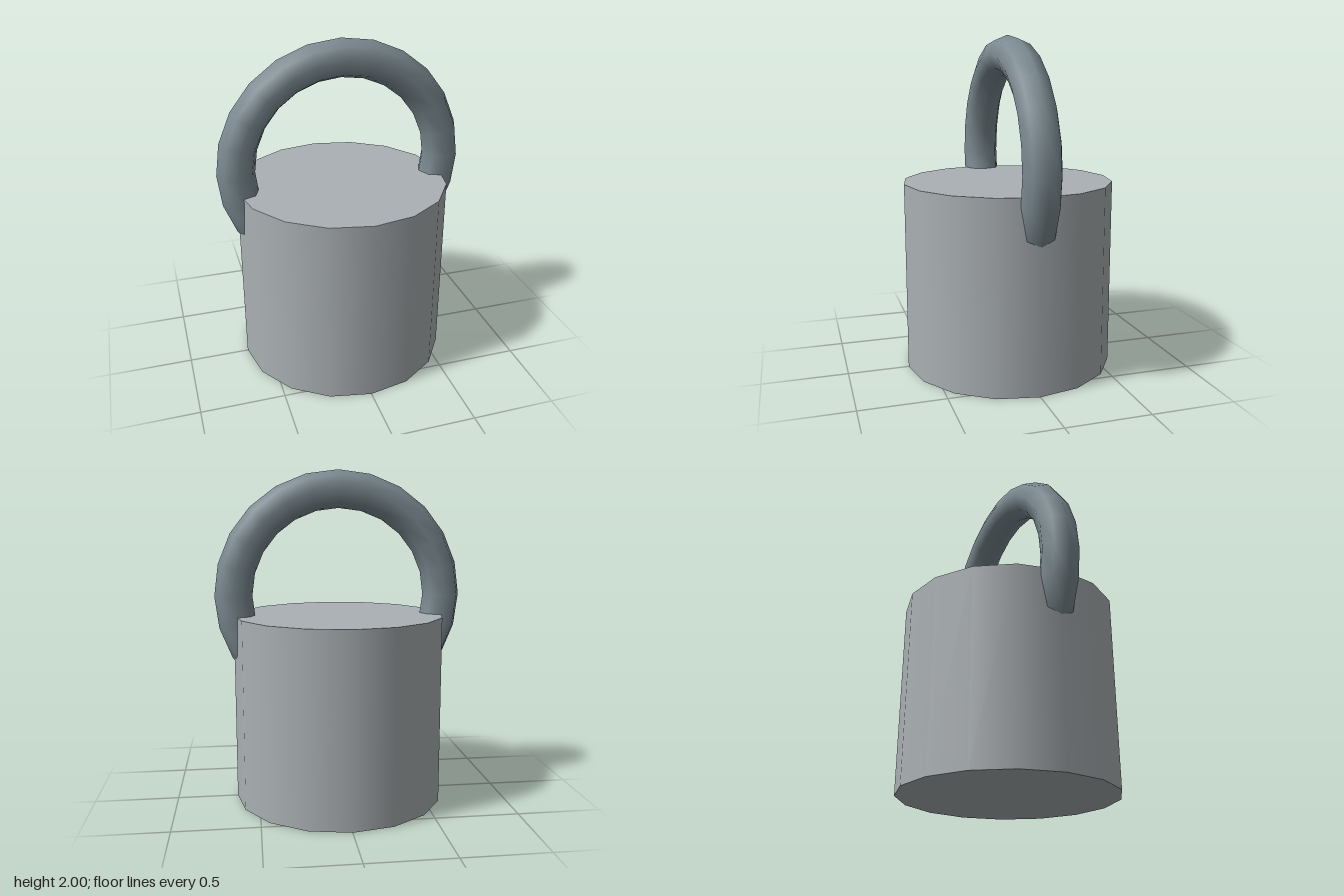
import * as THREE from 'three';

const RADIUS = 0.635;
const BODY_HEIGHT = 1.135;
const TUBE = 0.113;

function addPart(group, name, geometry, color, y) {
  const mesh = new THREE.Mesh(geometry, new THREE.MeshStandardMaterial({ color }));
  mesh.name = name;
  mesh.position.y = y;
  group.add(mesh);
}

export function createModel() {
  const group = new THREE.Group();
  group.name = 'padlock';

  // Solid round body standing on the ground
  addPart(group, 'body',
    new THREE.CylinderGeometry(RADIUS, RADIUS, BODY_HEIGHT, 16), 0xaab0b3, BODY_HEIGHT / 2);

  // Ring shackle, its lower part sunk into the body
  addPart(group, 'shackle',
    new THREE.TorusGeometry(RADIUS, TUBE, 8, 24), 0x7c8b92, 2 - RADIUS - TUBE);

  return group;
}
